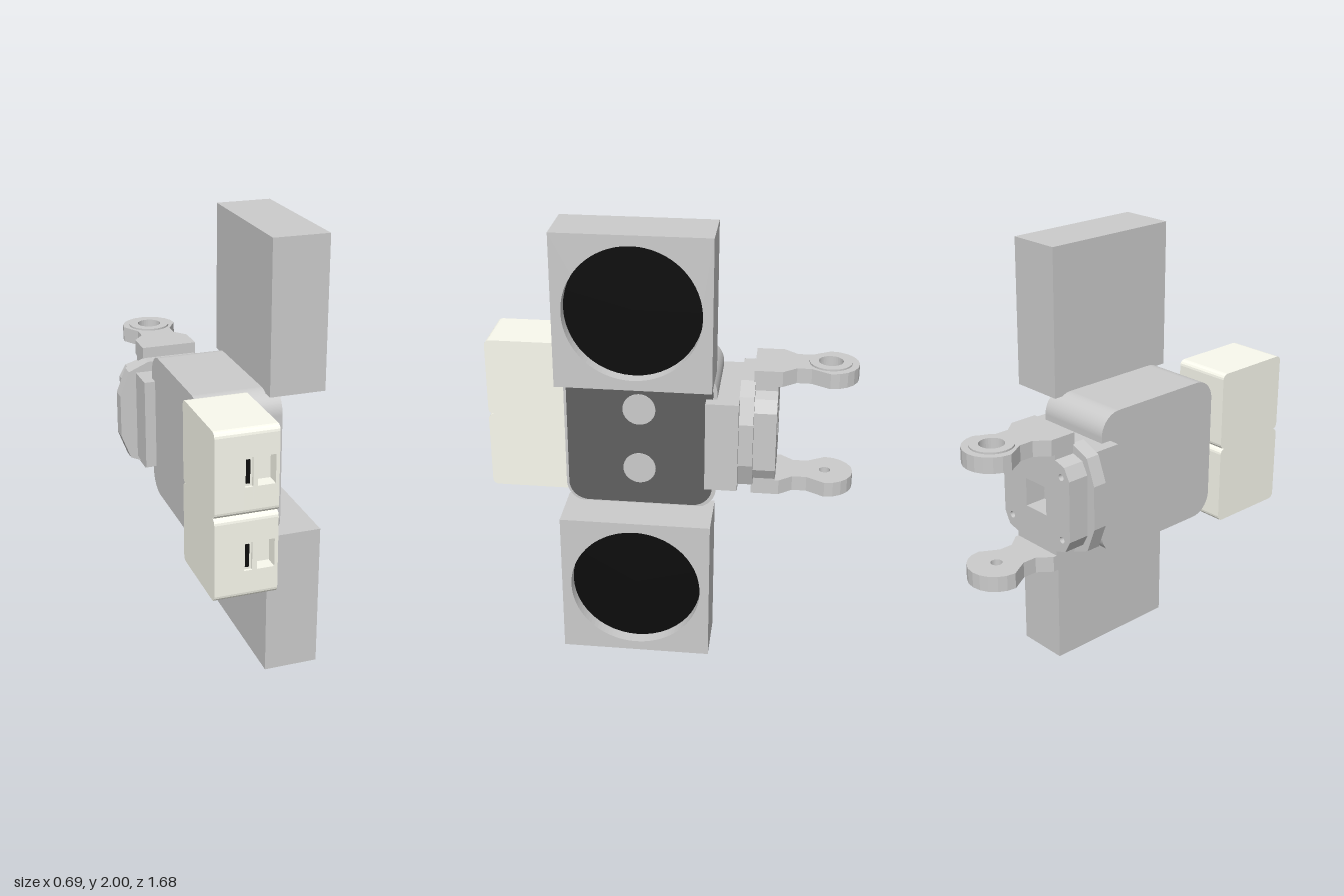
import * as THREE from 'three';

const mat = (color) => new THREE.MeshStandardMaterial({ color });
const grey = mat(0xcccccc), cream = mat(0xfafaee), dark = mat(0x606060), black = mat(0x0c0c0c);

function add(parent, name, geometry, material = grey) {
  const mesh = new THREE.Mesh(geometry, material);
  mesh.name = name;
  parent.add(mesh);
  return mesh;
}

// Box from its limits on each axis
function box(x0, x1, y0, y1, z0, z1) {
  return new THREE.BoxGeometry(x1 - x0, y1 - y0, z1 - z0)
    .translate((x0 + x1) / 2, (y0 + y1) / 2, (z0 + z1) / 2);
}

const polygon = (pts) => new THREE.Shape(pts.map(([x, y]) => new THREE.Vector2(x, y)));

const circleHole = (x, y, r) => new THREE.Path().absarc(x, y, r, 0, Math.PI * 2, true);

function extrude(shape, depth) {
  return new THREE.ExtrudeGeometry(shape, { depth, bevelEnabled: false, curveSegments: 16 });
}

// Extrusions along x (shape drawn in -z, y) and along y (shape drawn in x, -z)
const alongX = (shape, x0, x1) => extrude(shape, x1 - x0).rotateY(Math.PI / 2).translate(x0, 0, 0);
const alongY = (shape, y0, y1) => extrude(shape, y1 - y0).rotateX(-Math.PI / 2).translate(0, y0, 0);

function roundedRect(x0, x1, y0, y1, r) {
  const s = new THREE.Shape();
  s.absarc(x1 - r, y1 - r, r, 0, Math.PI / 2);
  s.absarc(x0 + r, y1 - r, r, Math.PI / 2, Math.PI);
  s.absarc(x0 + r, y0 + r, r, Math.PI, Math.PI * 1.5);
  s.absarc(x1 - r, y0 + r, r, Math.PI * 1.5, Math.PI * 2);
  return s;
}

// Mirror a quarter outline (listed from +x towards +y) into a full one
function fourWay(q) {
  const r = [...q].reverse();
  return [...q, ...r.map(([x, y]) => [-x, y]), ...q.map(([x, y]) => [-x, -y]), ...r.map(([x, y]) => [x, -y])];
}

// Square cabinet with a round recess on the +x side
function speaker(y0) {
  const g = new THREE.Group();
  g.name = 'speaker';
  const cy = y0 + 0.3375;
  const front = polygon([[-0.45, y0], [0.22, y0], [0.22, y0 + 0.675], [-0.45, y0 + 0.675]]);
  const hole = new THREE.Path().absarc(-0.115, cy, 0.293, 0, Math.PI * 2, true);
  front.holes.push(hole);
  const frontGeo = new THREE.ExtrudeGeometry(front, { depth: 0.06, bevelEnabled: false, curveSegments: 48 });
  add(g, 'cabinetFront', frontGeo.rotateY(Math.PI / 2).translate(0.28, 0, 0));
  add(g, 'cabinetBack', box(0.09, 0.28, y0, y0 + 0.675, -0.22, 0.45));
  add(g, 'cone', new THREE.CircleGeometry(0.293, 48).rotateY(Math.PI / 2).translate(0.283, cy, 0.115), black);
  return g;
}

// Connector housing built from slices along x, some notched at the front
function connector(y0) {
  const g = new THREE.Group();
  g.name = 'connector';
  const y1 = y0 + 0.367, r = 0.025, zf = -0.84, zb = -0.45;
  const profile = (notch) => {
    const pts = [];
    [[zb - r, y1 - r, 0], [zf + r, y1 - r, 1], [zf + r, y0 + r, 2], [zb - r, y0 + r, 3]].forEach(([x, y, q]) => {
      for (let i = 0; i <= 4; i++) {
        const a = (q + i / 4) * Math.PI / 2;
        pts.push([x + r * Math.cos(a), y + r * Math.sin(a)]);
      }
      if (q === 1 && notch) {
        const [lo, hi, d] = notch;
        pts.push([zf, hi], [zf + d, hi], [zf + d, lo], [zf, lo]);
      }
    });
    return polygon(pts);
  };
  const lo = y0 + 0.123, hi = y0 + 0.248;
  const slot = [lo, hi, 0.012], window = [lo, hi, 0.06];
  [[-0.29, -0.165], [-0.165, -0.13, slot], [-0.13, -0.11], [-0.11, -0.035, window], [-0.035, -0.02]]
    .forEach(([a, b, notch]) => add(g, 'housing', alongX(profile(notch), a, b), cream));
  add(g, 'slot', box(-0.157, -0.14, lo + 0.012, hi - 0.012, 0.82, 0.832), black);
  return g;
}

// Fork arm outline: wide root, narrow neck, faceted round end
function armOutline(holeRadius) {
  const cx = -0.09, cz = 0.712, n = 10;
  const pts = [[cx - 0.128, 0.38], [cx + 0.128, 0.38], [cx + 0.128, 0.505], [cx + 0.08, 0.565], [cx + 0.08, 0.63]];
  for (let i = 0; i <= n; i++) {
    const a = (i / n) * Math.PI;
    pts.push([cx + 0.127 * Math.cos(a), cz + 0.127 * Math.sin(a)]);
  }
  pts.push([cx - 0.08, 0.63], [cx - 0.08, 0.565], [cx - 0.128, 0.505]);
  const s = polygon(pts);
  s.holes.push(circleHole(cx, cz, holeRadius));
  return s;
}

function boss(radius, holeRadius) {
  const s = new THREE.Shape().absarc(-0.09, 0.712, radius, 0, Math.PI * 2);
  s.holes.push(circleHole(-0.09, 0.712, holeRadius));
  return s;
}

function bracket() {
  const g = new THREE.Group();
  g.name = 'bracket';
  const cx = -0.09, cy = 1.003;
  add(g, 'base', box(-0.27, 0.2, 0.793, 1.212, -0.325, -0.18));

  // Faceted round plate
  const plate = polygon(fourWay([[0.257, 0.1], [0.213, 0.215], [0.12, 0.255]]));
  add(g, 'plate', extrude(plate, 0.065).translate(cx, cy, -0.388));

  // Chamfered block with square pocket and screw holes
  const block = polygon(fourWay([[0.215, 0.14], [0.185, 0.195], [0.128, 0.212], [0.128, 0.24]]));
  const h = 0.065;
  block.holes.push(new THREE.Path([[-h, -h], [-h, h], [h, h], [h, -h]].map(([x, y]) => new THREE.Vector2(x, y))));
  for (const sx of [-1, 1]) for (const sy of [-1, 1]) block.holes.push(circleHole(sx * 0.165, sy * 0.145, 0.015));
  add(g, 'block', extrude(block, 0.102).translate(cx, cy, -0.488));
  add(g, 'pocketPin', new THREE.CylinderGeometry(0.022, 0.022, 0.04, 12).rotateX(Math.PI / 2).translate(cx, cy, -0.405));

  // Fork arms with bearing rings
  add(g, 'upperArm', alongY(armOutline(0.055), 1.237, 1.308));
  add(g, 'upperBoss', alongY(boss(0.095, 0.055), 1.3, 1.316));
  add(g, 'lowerArm', alongY(armOutline(0.026), 0.698, 0.769));
  add(g, 'lowerBoss', alongY(boss(0.06, 0.026), 0.688, 0.705));
  return g;
}

export function createModel() {
  const model = new THREE.Group();

  // Rounded body with dark side panel
  add(model, 'body', alongX(roundedRect(-0.45, 0.228, 0.668, 1.339, 0.1), -0.22, 0.148));
  add(model, 'sidePanel', alongX(roundedRect(-0.438, 0.21, 0.68, 1.326, 0.09), 0.14, 0.151), dark);
  for (const y of [0.858, 1.148]) {
    add(model, 'panelDisc', new THREE.CylinderGeometry(0.073, 0.073, 0.02, 32)
      .rotateZ(Math.PI / 2).translate(0.146, y, 0.115));
  }

  for (const y of [0, 1.325]) model.add(speaker(y));
  for (const y of [0.636, 1.003]) model.add(connector(y));
  model.add(bracket());
  return model;
}
